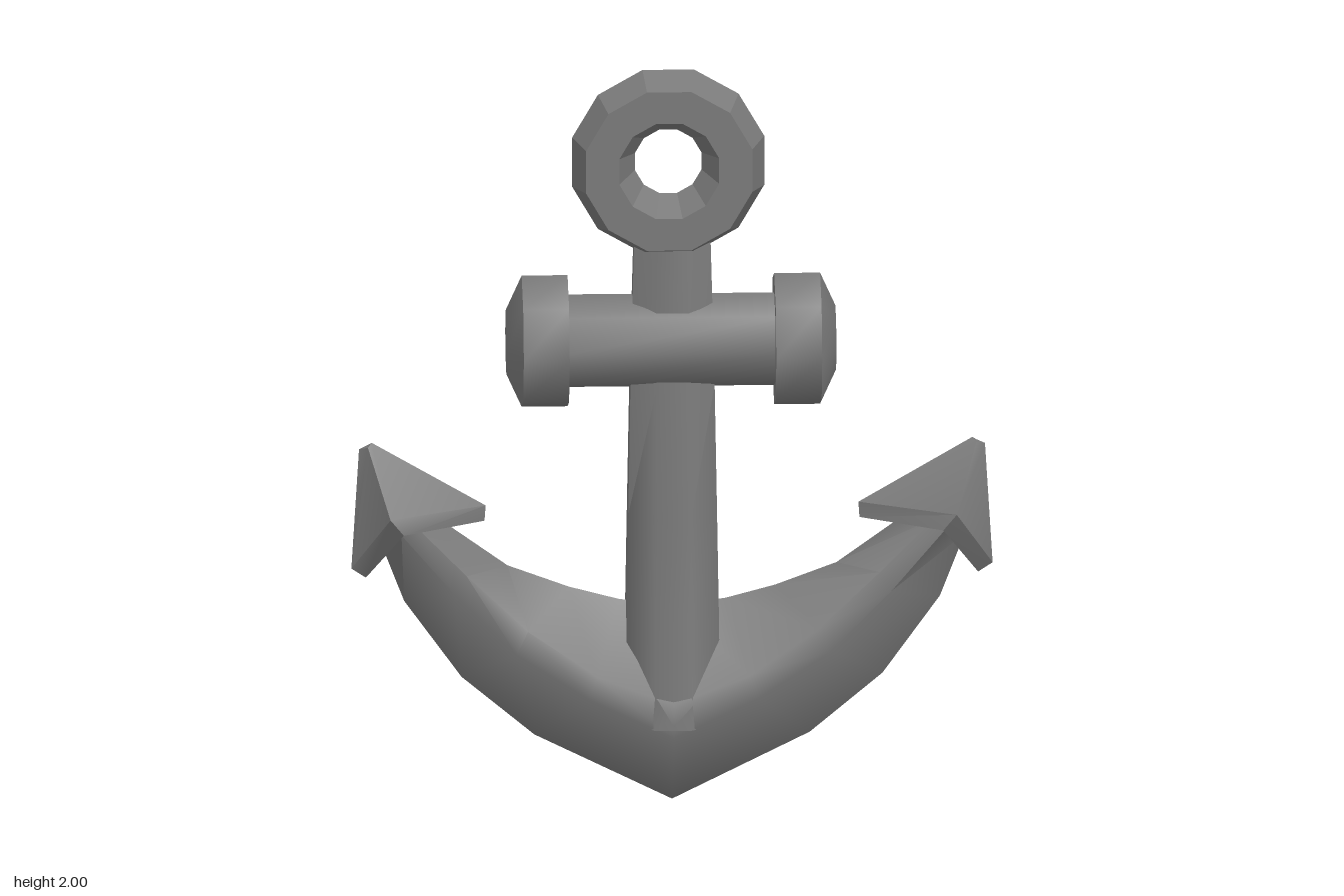
import * as THREE from 'three';
import { toCreasedNormals } from 'three/addons/utils/BufferGeometryUtils.js';

const iron = new THREE.MeshStandardMaterial({ color: 0x7a7a7a });
iron.name = 'grey iron';

function part(name, geometry, crease) {
  const mesh = new THREE.Mesh(toCreasedNormals(geometry, crease), iron);
  mesh.name = name;
  return mesh;
}

// Skin a list of rings (counter-clockwise about the direction of travel) and cap both ends
function loft(rings) {
  const n = rings[0].length, index = [];
  for (let i = 0; i < rings.length - 1; i++) {
    for (let j = 0; j < n; j++) {
      const k = (j + 1) % n;
      const a = i * n + j, b = i * n + k, c = b + n, d = a + n;
      index.push(a, b, c, a, c, d);
    }
  }
  const last = (rings.length - 1) * n;
  for (let j = 1; j < n - 1; j++) {
    index.push(0, j + 1, j, last, last + j, last + j + 1);
  }
  const g = new THREE.BufferGeometry();
  g.setAttribute('position', new THREE.Float32BufferAttribute(rings.flat(2), 3));
  g.setIndex(index);
  g.computeVertexNormals();
  return g;
}

function lathe(points, sides, start = 0) {
  return new THREE.LatheGeometry(points.map(p => new THREE.Vector2(...p)), sides, start);
}

export function createModel() {
  const model = new THREE.Group();
  model.name = 'anchor';

  // Twelve-sided ring with a ridged rim and hole
  const ring = lathe([[0.09, 0], [0.135, -0.088], [0.225, -0.088], [0.26, 0],
    [0.225, 0.088], [0.135, 0.088], [0.09, 0]], 12, Math.PI / 12);
  ring.rotateX(Math.PI / 2);
  ring.translate(-0.01, 1.75, 0);
  model.add(part('ring', ring, 0.35));

  // Shank: tapering octagonal column; each row is height, half width, half depth
  const shank = [[0.24, 0.125, 0.168], [0.32, 0.123, 0.16], [0.55, 0.12, 0.13],
    [0.8, 0.116, 0.112], [1.15, 0.11, 0.092], [1.54, 0.1, 0.06]].map(([y, w, d]) => {
    const f = w * 0.4, s = d * 0.5;
    return [[f, y, d], [w, y, s], [w, y, -s], [f, y, -d],
      [-f, y, -d], [-w, y, -s], [-w, y, s], [-f, y, d]];
  });
  model.add(part('shank', loft(shank), 0.95));

  // Crossbar with domed octagonal end caps
  const bar = lathe([[0, -0.3], [0.127, -0.3], [0.127, 0.3], [0, 0.3]], 8);
  bar.rotateZ(-Math.PI / 2);
  bar.translate(0, 1.26, 0);
  model.add(part('crossbar', bar, 0.9));
  for (const side of [1, -1]) {
    const cap = lathe([[0, 0.27], [0.18, 0.27], [0.18, 0.39], [0.09, 0.43], [0, 0.43]], 8);
    cap.rotateZ(-side * Math.PI / 2);
    cap.translate(-0.003, 1.26, 0);
    model.add(part(side > 0 ? 'leftEndCap' : 'rightEndCap', cap, 0.9));
  }

  // Curved arms: sections of keel, lower ridge, upper ridge and top as x, y, z
  const sections = [
    [[0, 0, 0], [0, 0.22, 0.168], [0, 0.31, 0.165], [0, 0.53, 0]],
    [[0.36, 0.18, 0], [0.22, 0.32, 0.148], [0.2, 0.38, 0.14], [0.14, 0.55, 0]],
    [[0.55, 0.34, 0], [0.41, 0.44, 0.128], [0.38, 0.5, 0.12], [0.27, 0.585, 0]],
    [[0.7, 0.55, 0], [0.57, 0.6, 0.112], [0.54, 0.65, 0.106], [0.43, 0.645, 0]],
    [[0.765, 0.72, 0], [0.71, 0.76, 0.095], [0.68, 0.79, 0.09], [0.63, 0.79, 0]],
  ];
  const armRing = (section, side) => {
    const at = (i, z) => [side * section[i][0], section[i][1], z * section[i][2]];
    return [at(0, 1), at(1, -1), at(2, -1), at(3, 1), at(2, 1), at(1, 1)];
  };
  const arms = [
    ...sections.slice(1).reverse().map(s => armRing(s, -1)),
    ...sections.map(s => armRing(s, 1)),
  ];
  model.add(part('arms', loft(arms), 0.9));

  // Arrow-shaped flukes: folded base, blunt rim and small tip
  const rim = (zx, zy, z, ox, oy, ix, iy) =>
    [[zx, zy, z], [ox, oy, 0], [zx, zy, -z], [ix, iy, 0]];
  for (const side of [1, -1]) {
    const fluke = loft([
      rim(0.705, 0.77, 0.128, 0.8, 0.615, 0.49, 0.768),
      rim(0.74, 0.815, 0.136, 0.838, 0.64, 0.487, 0.81),
      rim(0.795, 0.975, 0.012, 0.818, 0.968, 0.785, 0.985),
    ]);
    if (side < 0) fluke.rotateY(Math.PI);
    model.add(part(side > 0 ? 'leftFluke' : 'rightFluke', fluke, 0.6));
  }
  return model;
}
